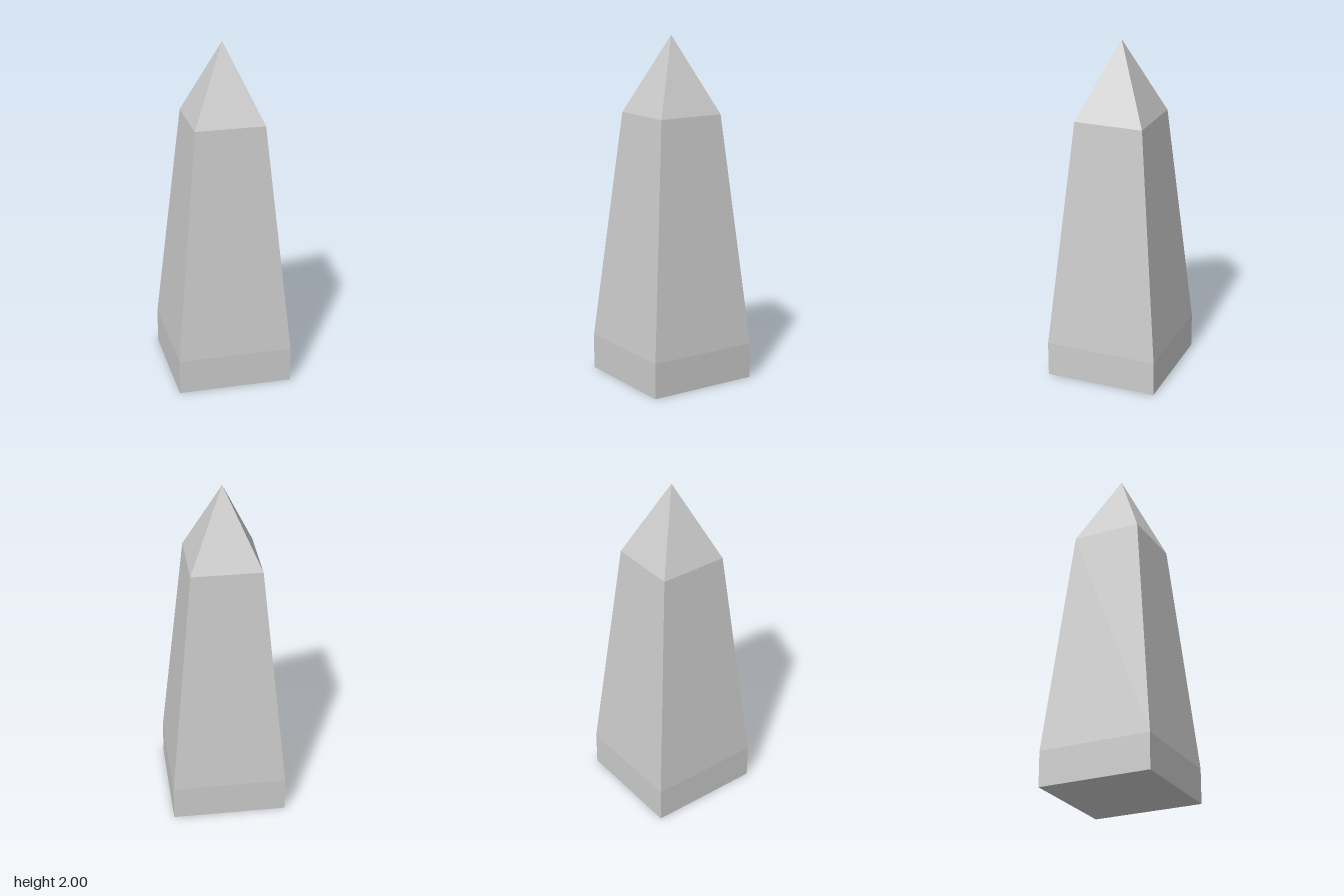
import * as THREE from 'three';

const BASE = 0.333, SHOULDER = 0.202;      // half widths
const BASE_Y = 0.207, SHOULDER_Y = 1.555, TIP_Y = 2;

// Four-sided section from a bottom-to-top profile of [half width, height]
function squareSection(name, profile, material) {
  const points = profile.map(([half, y]) => new THREE.Vector2(half * Math.SQRT2, y));
  const mesh = new THREE.Mesh(new THREE.LatheGeometry(points, 4, Math.PI / 4), material);
  mesh.name = name;
  return mesh;
}

export function createModel() {
  const stone = new THREE.MeshStandardMaterial({ color: 0xcccccc, flatShading: true });
  const obelisk = new THREE.Group();
  obelisk.name = 'obelisk';
  obelisk.add(
    // straight foot, closed underneath
    squareSection('base', [[0, 0], [BASE, 0], [BASE, BASE_Y]], stone),
    // tapering body
    squareSection('shaft', [[BASE, BASE_Y], [SHOULDER, SHOULDER_Y]], stone),
    // pyramid cap
    squareSection('tip', [[SHOULDER, SHOULDER_Y], [0, TIP_Y]], stone),
  );
  return obelisk;
}
